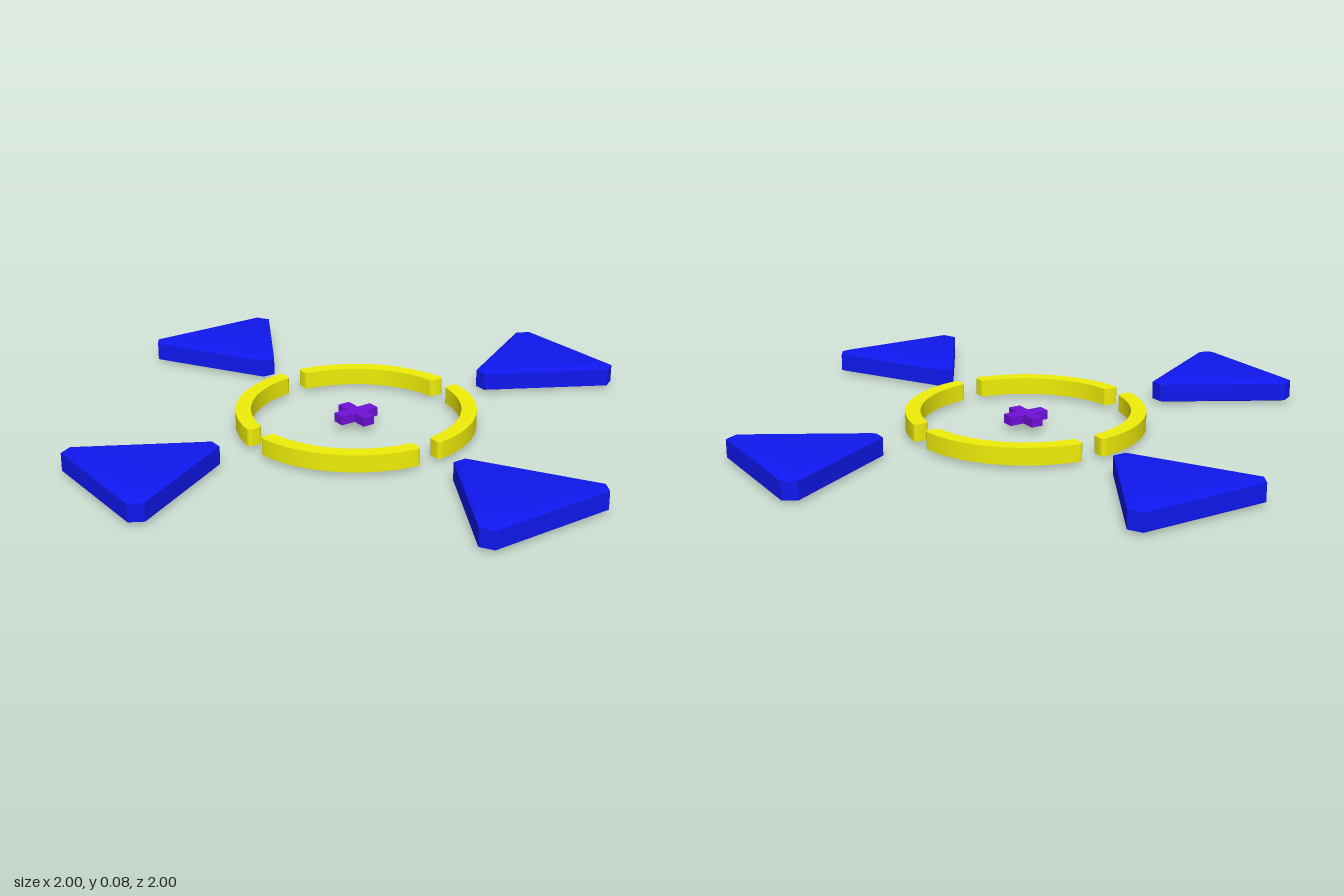
import * as THREE from 'three';
import { toCreasedNormals } from 'three/addons/utils/BufferGeometryUtils.js';

const HEIGHT = 0.084;
const MID = HEIGHT / 2;

// Extrude a plan shape upwards, centred on the mid height
function slab(shape, height, bevelSize = 0, bevelThickness = 0) {
  const depth = height - 2 * bevelThickness;
  const geometry = new THREE.ExtrudeGeometry(shape, {
    depth, curveSegments: 24,
    bevelEnabled: bevelSize > 0, bevelSegments: 1,
    bevelSize, bevelThickness, bevelOffset: -bevelSize,
  });
  geometry.translate(0, 0, -depth / 2);
  geometry.rotateX(-Math.PI / 2);
  geometry.translate(0, MID, 0);
  return toCreasedNormals(geometry, 0.4);
}

// Triangle with clipped corners, pointing at the centre
function pointerShape() {
  return new THREE.Shape([
    [-0.024, -0.56], [-0.252, -0.955], [-0.226, -1],
    [0.226, -1], [0.252, -0.955], [0.024, -0.56],
  ].map(([x, y]) => new THREE.Vector2(x, y)));
}

// Quarter ring with straight gaps and rounded end corners
function arcShape(outer, inner, gap, round) {
  const a = Math.asin((gap + round) / outer);
  const b = Math.asin((gap + round) / inner);
  const ox = Math.sqrt(outer * outer - gap * gap);
  const ix = Math.sqrt(inner * inner - gap * gap);
  const s = new THREE.Shape();
  s.absarc(0, 0, outer, a, Math.PI / 2 - a, false);
  s.quadraticCurveTo(gap, ox, gap, ox - round);
  s.lineTo(gap, ix + round);
  s.quadraticCurveTo(gap, ix, inner * Math.sin(b), inner * Math.cos(b));
  s.absarc(0, 0, inner, Math.PI / 2 - b, b, true);
  s.quadraticCurveTo(ix, gap, ix + round, gap);
  s.lineTo(ox - round, gap);
  s.quadraticCurveTo(ox, gap, outer * Math.cos(a), outer * Math.sin(a));
  return s;
}

// Plus sign outline
function crossShape(reach, half) {
  const points = [];
  for (let k = 0; k < 4; k++) {
    for (const [x, y] of [[reach, -half], [reach, half], [half, half]]) {
      points.push(new THREE.Vector2(x, y).rotateAround(new THREE.Vector2(), k * Math.PI / 2));
    }
  }
  return new THREE.Shape(points);
}

export function createModel() {
  const model = new THREE.Group();
  const blue = new THREE.MeshStandardMaterial({ color: 0x0f18f0 });
  const yellow = new THREE.MeshStandardMaterial({ color: 0xf0ee08 });
  const purple = new THREE.MeshStandardMaterial({ color: 0x7010d8 });

  const add = (name, geometry, material, turn = 0) => {
    const mesh = new THREE.Mesh(geometry, material);
    mesh.name = name;
    mesh.rotation.y = turn * Math.PI / 2;
    model.add(mesh);
  };

  // Four pointers and four ring segments around the centre
  const pointer = slab(pointerShape(), HEIGHT, 0.03, 0.011);
  const arc = slab(arcShape(0.415, 0.362, 0.036, 0.015), 0.06);
  for (let k = 0; k < 4; k++) {
    add(`pointer${k + 1}`, pointer, blue, k);
    add(`ringSegment${k + 1}`, arc, yellow, k);
  }

  // Small cross in the middle
  add('centreCross', slab(crossShape(0.075, 0.022), 0.032), purple);
  return model;
}
